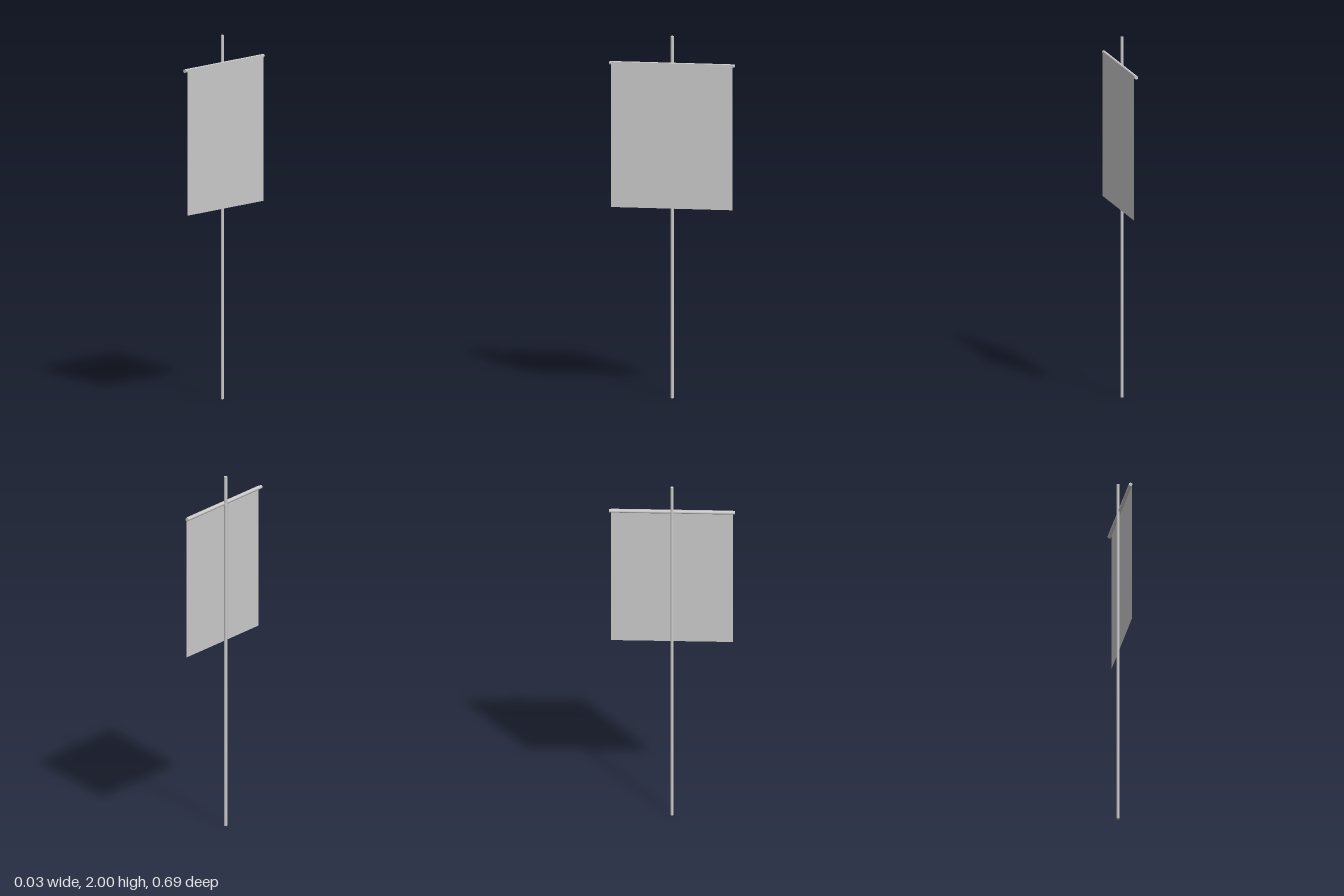
import * as THREE from 'three';

export function createModel() {
  const group = new THREE.Group();
  const grey = new THREE.MeshStandardMaterial({ color: 0xcccccc });
  const clothMaterial = new THREE.MeshStandardMaterial({ color: 0xcccccc, side: THREE.DoubleSide });

  const add = (name, geometry, material, x, y) => {
    const mesh = new THREE.Mesh(geometry, material);
    mesh.name = name;
    mesh.position.set(x, y, 0);
    group.add(mesh);
  };

  // Upright pole
  add('pole', new THREE.CylinderGeometry(0.009, 0.009, 2, 12), grey, -0.0065, 1);

  // Crossbar fixed to the +x side of the pole, running along z
  add('crossbar', new THREE.CylinderGeometry(0.01, 0.01, 0.686, 12).rotateX(Math.PI / 2), grey, 0.0045, 1.845);

  // Thin cloth hanging over the outer face of the crossbar
  add('cloth', new THREE.PlaneGeometry(0.664, 0.803).rotateY(Math.PI / 2), clothMaterial, 0.0145, 1.4515);

  return group;
}
